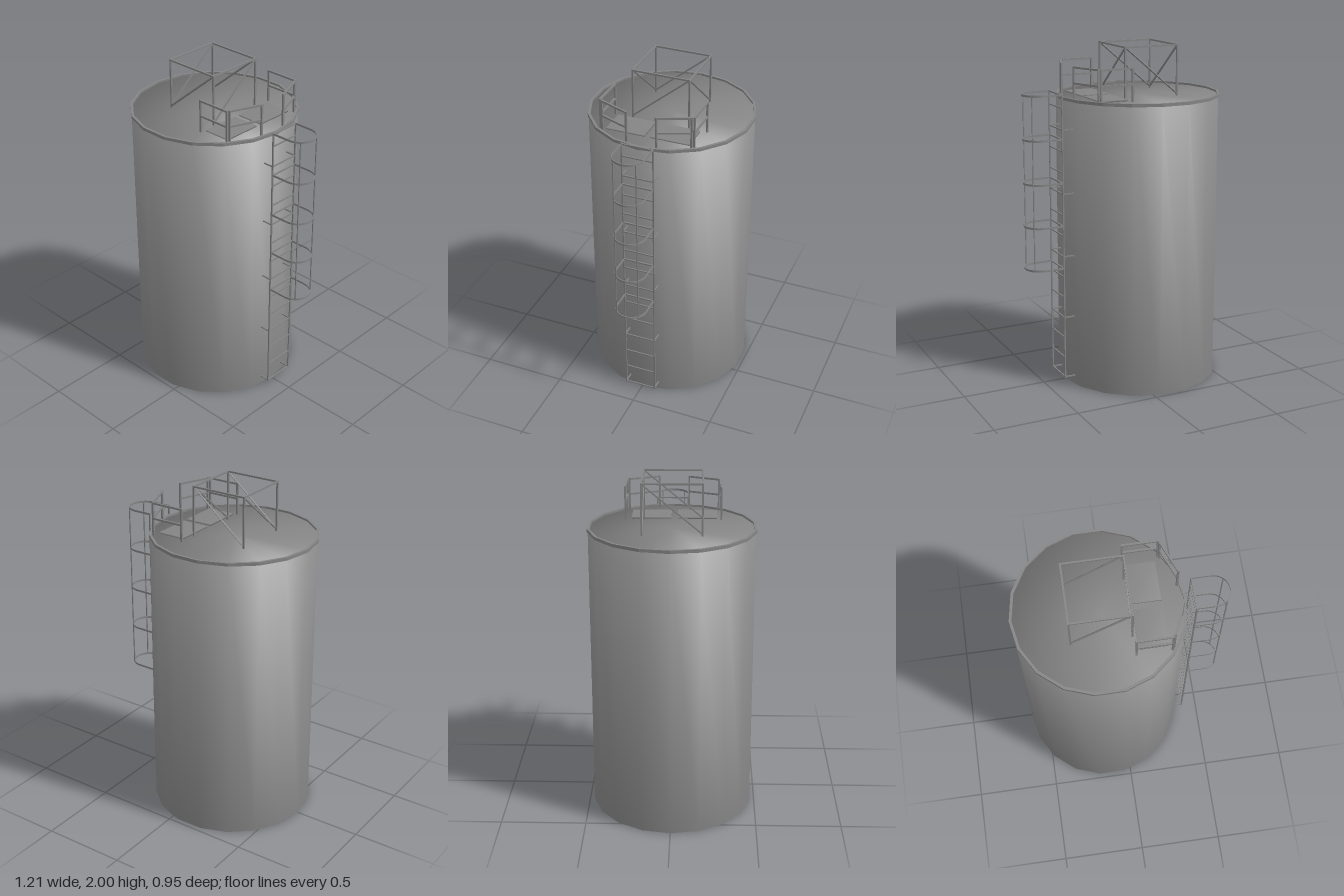
import * as THREE from 'three';
import { mergeVertices } from 'three/addons/utils/BufferGeometryUtils.js';

const CX = -0.122;      // tank axis
const R = 0.479;        // tank radius
const SIDES = 18;
const ROOF = 1.703;
const LZ = -0.009;      // ladder centre line
const LW = 0.093;       // ladder half width
const LX = 0.403;       // ladder plane
const COLOR = 0x848484;

const steel = new THREE.MeshStandardMaterial({ color: COLOR });
const steelFlat = new THREE.MeshStandardMaterial({ color: COLOR, flatShading: true });
const steelThin = new THREE.MeshStandardMaterial({ color: COLOR, side: THREE.DoubleSide });

function add(parent, name, geometry, material = steel) {
  const mesh = new THREE.Mesh(geometry, material);
  mesh.name = name;
  parent.add(mesh);
  return mesh;
}

function group(parent, name) {
  const g = new THREE.Group();
  g.name = name;
  parent.add(g);
  return g;
}

// Square bar between two points
function bar(parent, name, a, b, t) {
  const from = new THREE.Vector3(...a), to = new THREE.Vector3(...b);
  const mesh = add(parent, name, new THREE.BoxGeometry(t, t, from.distanceTo(to)));
  mesh.position.copy(from).lerp(to, 0.5);
  mesh.quaternion.setFromUnitVectors(new THREE.Vector3(0, 0, 1), to.sub(from).normalize());
  return mesh;
}

// Railing panel between two floor points: posts, top rail and middle rail
function railing(parent, [x1, z1], [x2, z2]) {
  const g = group(parent, 'railing');
  const top = 1.89, mid = 1.8, t = 0.011;
  for (const [x, z] of [[x1, z1], [x2, z2]]) {
    bar(g, 'railingPost', [x, ROOF, z], [x, top + t / 2, z], t);
  }
  for (const y of [mid, top]) bar(g, 'railingBar', [x1, y, z1], [x2, y, z2], t);
}

// Shell and roof as one skin, shaded smoothly across the upper edge
function shellGeometry() {
  const profile = [[R, 0], [R, ROOF], [0, ROOF]].map(([r, y]) => new THREE.Vector2(r, y));
  const g = new THREE.LatheGeometry(profile, SIDES, Math.PI / 2);
  const { position, normal } = g.attributes;
  for (let i = 0; i < position.count; i++) {
    const x = position.getX(i) / R, z = position.getZ(i) / R;
    normal.setXYZ(i, x, position.getY(i) > 0 ? 1 : 0, z);
  }
  g.normalizeNormals();
  return g;
}

// Box with its corners shaded smoothly
function softBox(w, h, d) {
  const g = new THREE.BoxGeometry(w, h, d);
  g.deleteAttribute('normal');
  g.deleteAttribute('uv');
  const welded = mergeVertices(g);
  welded.computeVertexNormals();
  return welded;
}

// U-shaped flat band of the safety cage
function hoopGeometry() {
  const straight = 0.512, w = 0.005, h = 0.012;
  const s = new THREE.Shape();
  s.moveTo(LX, -LW);
  s.lineTo(straight, -LW);
  s.absarc(straight, 0, LW, -Math.PI / 2, Math.PI / 2, false);
  s.lineTo(LX, LW);
  s.lineTo(LX, LW - w);
  s.lineTo(straight, LW - w);
  s.absarc(straight, 0, LW - w, Math.PI / 2, -Math.PI / 2, true);
  s.lineTo(LX, -LW + w);
  s.closePath();
  return new THREE.ExtrudeGeometry(s, { depth: h, bevelEnabled: false, curveSegments: 12 })
    .translate(0, 0, -h / 2).rotateX(-Math.PI / 2);
}

export function createModel() {
  const model = new THREE.Group();
  model.name = 'storageTank';

  // Tank shell, open underneath, with a flat roof and a rim
  const tank = group(model, 'tank');
  tank.position.x = CX;
  add(tank, 'shell', shellGeometry(), steelThin);
  const rimProfile = [[0.469, 1.697], [0.484, 1.697], [0.484, 1.715], [0.469, 1.715], [0.469, 1.697]]
    .map(([r, y]) => new THREE.Vector2(r, y));
  add(tank, 'rim', new THREE.LatheGeometry(rimProfile, SIDES, Math.PI / 2), steelFlat);

  // Roof hatches
  for (const z of [-0.125, 0.14]) {
    add(model, 'hatch', softBox(0.165, 0.01, 0.23)).position.set(0.143, ROOF + 0.004, z);
  }

  // Braced square frame in the middle of the roof
  const frame = group(model, 'roofFrame');
  const [xa, xb, za, zb, top, t] = [-0.294, 0.04, -0.166, 0.172, 1.995, 0.01];
  for (const x of [xa, xb]) {
    for (const z of [za, zb]) bar(frame, 'framePost', [x, ROOF, z], [x, top, z], t);
    bar(frame, 'frameTopBar', [x, top, za - t / 2], [x, top, zb + t / 2], t);
    bar(frame, 'frameBrace', [x, ROOF + 0.012, zb], [x, top, za], t * 0.8);
  }
  for (const z of [za, zb]) {
    bar(frame, 'frameTopBar', [xa, top, z], [xb, top, z], t);
    bar(frame, 'frameBrace', [xa, ROOF + 0.012, z], [xb, top, z], t * 0.8);
  }

  // Railings on both sides of the ladder head
  for (const s of [-1, 1]) {
    const z = (d) => 0.002 + s * d;
    railing(model, [0.046, z(0.277)], [0.242, z(0.277)]);
    railing(model, [0.251, z(0.264)], [0.322, z(0.088)]);
  }

  // Ladder with rungs and wall brackets
  const ladder = group(model, 'ladder');
  ladder.position.z = LZ;
  for (const s of [-1, 1]) bar(ladder, 'ladderRail', [LX, 0.048, s * LW], [LX, 1.746, s * LW], 0.008);
  for (let i = 0; i < 14; i++) {
    const y = 0.054 + i * 0.124;
    bar(ladder, 'rung', [LX, y, -LW], [LX, y, LW], 0.007);
    if (i % 3 === 0) {
      for (const s of [-1, 1]) bar(ladder, 'wallBracket', [0.335, y, s * LW], [LX, y, s * LW], 0.007);
    }
  }

  // Safety cage: hoops, cross bars and upright rods
  const cage = group(model, 'safetyCage');
  cage.position.z = LZ;
  const hoop = hoopGeometry();
  for (let i = 0; i < 5; i++) {
    const y = 0.726 + i * 0.2535;
    add(cage, 'hoop', hoop).position.y = y;
    bar(cage, 'hoopCrossBar', [LX, y, -LW], [LX, y, LW], 0.008);
  }
  for (const s of [-1, 1]) bar(cage, 'cageRod', [0.574, 0.726, s * 0.067], [0.574, 1.74, s * 0.067], 0.006);

  return model;
}
